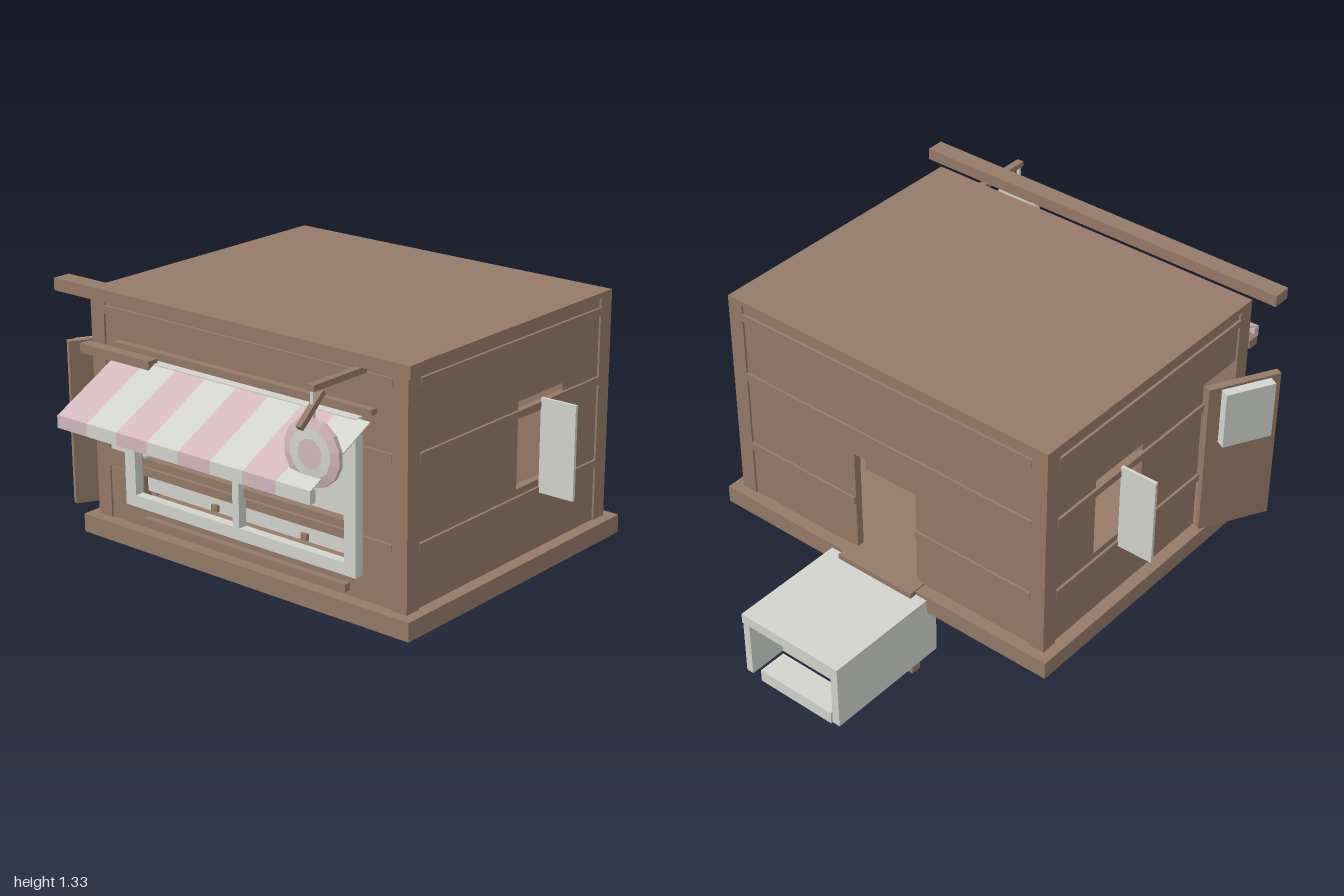
import * as THREE from 'three';

const mat = (name, color) => {
  const m = new THREE.MeshStandardMaterial({ color, side: THREE.DoubleSide });
  m.name = name;
  return m;
};

export function createModel() {
  const root = new THREE.Group();
  root.name = 'stallHouse';
  const wood = mat('brownWood', 0x967a67);
  const pale = mat('paleGrey', 0xd2d4cc);
  const pink = mat('softPink', 0xd4b8be);

  const add = (name, geo, m, parent = root) => {
    const mesh = new THREE.Mesh(geo, m);
    mesh.name = name;
    parent.add(mesh);
    return mesh;
  };
  // Box given by its limits on each axis
  const box = (name, m, x0, x1, y0, y1, z0, z1, parent = root) => {
    const mesh = add(name, new THREE.BoxGeometry(x1 - x0, y1 - y0, z1 - z0), m, parent);
    mesh.position.set((x0 + x1) / 2, (y0 + y1) / 2, (z0 + z1) / 2);
    return mesh;
  };
  // Flat panel with rectangular holes, each [u0, u1, v0, v1]
  const panel = ([u0, u1, v0, v1], holes, depth) => {
    const trace = (p, a, b, c, d) => p.moveTo(a, c).lineTo(b, c).lineTo(b, d).lineTo(a, d).lineTo(a, c);
    const shape = trace(new THREE.Shape(), u0, u1, v0, v1);
    for (const h of holes) shape.holes.push(trace(new THREE.Path(), ...h));
    return new THREE.ExtrudeGeometry(shape, { depth, bevelEnabled: false });
  };

  // House limits
  const X0 = -0.705, X1 = 0.735, Z0 = -0.49, Z1 = 0.67, Y0 = 0.43, Y1 = 1.29, T = 0.03, IN = 0.008;

  // Base and roof
  box('base', wood, -0.745, 0.775, 0.36, Y0, -0.53, 0.71);
  box('roof', wood, X0, X1, 1.27, Y1, Z0, Z1);
  box('frontRoofBeam', wood, -0.79, 0.815, 1.285, 1.33, 0.69, 0.762);

  // Walls with openings
  add('frontWall', panel([X0 + IN, X1 - IN, Y0, 1.27], [[-0.47, 0.5, 0.5, 1.04]], T), wood)
    .position.z = Z1 - IN - T;
  add('backWall', panel([X0 + IN, X1 - IN, Y0, 1.27], [[-0.125, 0.16, Y0 + 0.002, 0.86]], T), wood)
    .position.z = Z0 + IN;
  const sideWindow = [-0.055, 0.21, 0.69, 1.01];
  const sideSpan = [-Z1 + IN, -Z0 - IN, Y0, 1.27];
  const rightHand = add('leftWall', panel(sideSpan, [sideWindow], T), wood);
  rightHand.rotation.y = Math.PI / 2;
  rightHand.position.x = X1 - IN - T;
  const doorSide = add('rightWall', panel(sideSpan, [sideWindow, [-0.64, -0.41, Y0 + 0.002, 1.06]], T), wood);
  doorSide.rotation.y = Math.PI / 2;
  doorSide.position.x = X0 + IN;

  // Corner posts
  for (const x of [X0, X1 - 0.065])
    for (const z of [Z0, Z1 - 0.065]) box('cornerPost', wood, x, x + 0.065, Y0, 1.27, z, z + 0.065);

  // Horizontal battens around the house
  for (const [a, b] of [[0.635, 0.665], [0.952, 0.98], [1.208, 1.236]]) {
    box('frontBatten', wood, -0.64, 0.67, a, b, Z1 - 0.02, Z1 + 0.002);
    if (a < 0.7) {
      box('backBatten', wood, -0.64, -0.125, a, b, Z0 - 0.002, Z0 + 0.02);
      box('backBatten', wood, 0.16, 0.67, a, b, Z0 - 0.002, Z0 + 0.02);
    } else box('backBatten', wood, -0.64, 0.67, a, b, Z0 - 0.002, Z0 + 0.02);
    box('leftBatten', wood, X1 - 0.02, X1 + 0.002, a, b, -0.425, 0.605);
    box('rightBatten', wood, X0 - 0.002, X0 + 0.02, a, b, -0.425, a < 1.06 ? 0.41 : 0.605);
  }

  // Front window: frame, centre bar, panes, knob and rails
  add('windowFrame', panel([-0.52, 0.55, 0.525, 1.085],
    [[-0.47, -0.0, 0.57, 1.04], [0.03, 0.5, 0.57, 1.04]], 0.036), pale).position.z = 0.674;
  box('windowPane', pale, -0.47, 0.5, 0.57, 1.04, 0.642, 0.648);
  add('windowKnob', new THREE.SphereGeometry(0.018, 10, 8), pale).position.set(-0.415, 0.735, 0.7);
  box('windowRail', wood, -0.455, 0.485, 0.68, 0.708, 0.65, 0.685);
  box('lowerRail', wood, -0.455, 0.485, 0.45, 0.478, 0.66, 0.686);
  box('upperRail', wood, -0.575, 0.6, 1.1, 1.12, 0.66, 0.69);
  for (const x of [-0.135, 0.28]) {
    box('latch', wood, x - 0.014, x + 0.014, 0.795, 0.828, 0.648, 0.66);
    box('latch', wood, x - 0.014, x + 0.014, 0.575, 0.6, 0.648, 0.66);
    box('latchTab', x > 0 ? pink : pale, x - 0.014, x + 0.014, 0.76, 0.793, 0.648, 0.656);
  }

  // Small side pane beside the window
  box('sidePane', pale, -0.632, -0.535, 0.668, 0.99, 0.66, 0.667);
  box('sidePaneSill', wood, -0.64, -0.53, 0.66, 0.7, 0.655, 0.671);
  box('lowPanel', wood, -0.635, -0.47, 0.51, 0.63, 0.655, 0.668);
  box('awningRod', wood, -0.7, -0.36, 1.065, 1.1, 0.69, 0.735);

  // Striped awning with a hanging front edge
  const awning = new THREE.Group();
  awning.name = 'awning';
  root.add(awning);
  const w = 1.15 / 8, rise = 0.15, run = 0.295;
  for (let i = 0; i < 8; i++) {
    const x = -0.545 + i * w, m = i % 2 ? pale : pink;
    const cloth = add('awningStripe', new THREE.BoxGeometry(w, 0.004, Math.hypot(rise, run)), m, awning);
    cloth.position.set(x + w / 2, 1.083 - rise / 2, 0.7 + run / 2);
    cloth.rotation.x = Math.atan2(rise, run);
    box('awningEdge', m, x, x + w, 0.888, 0.935, 0.972, 1.0, awning);
  }

  // Round hanging sign, tapered towards the rim on both faces
  const sign = new THREE.Group();
  sign.name = 'roundSign';
  sign.position.set(0.56, 1.035, 0.93);
  root.add(sign);
  const ring = (name, m, pts) => {
    const geo = new THREE.LatheGeometry(pts.map(p => new THREE.Vector2(...p)), 14).toNonIndexed();
    geo.computeVertexNormals();
    add(name, geo, m, sign).rotation.x = Math.PI / 2;
  };
  ring('signRim', pink, [[0.085, -0.016], [0.117, -0.008], [0.117, 0.008], [0.085, 0.016]]);
  for (const s of [-1, 1]) {
    ring('signRing', pale, [[0.05, 0.018 * s], [0.085, 0.016 * s]]);
    ring('signCentre', pink, [[0, 0.018 * s], [0.05, 0.018 * s]]);
  }
  box('signArm', wood, 0.546, 0.574, 1.24, 1.262, 0.68, 0.94);
  const brace = add('signBrace', new THREE.BoxGeometry(0.022, 0.02, 0.145), wood);
  brace.position.set(0.56, 1.18, 0.94);
  brace.rotation.x = 0.71;
  box('signHanger', pale, 0.554, 0.566, 1.14, 1.24, 0.924, 0.936);

  // Open side door with a pale notice board
  const door = new THREE.Group();
  door.name = 'sideDoor';
  door.position.set(X0, 0, 0.41);
  door.rotation.y = -0.495;
  root.add(door);
  box('doorPanel', wood, -0.03, 0, Y0, 1.06, 0, 0.284, door);
  box('doorBoard', pale, -0.068, -0.03, 0.82, 1.05, 0.05, 0.245, door);

  // Side window shutters standing open
  box('leftShutter', pale, 0.735, 0.88, 0.645, 0.995, -0.08, -0.068);
  box('rightShutter', pale, -0.85, -0.705, 0.645, 0.995, -0.08, -0.068);

  // Inside counter, shelf and goods
  box('counterTop', wood, -0.4, 0.45, 0.825, 0.842, -0.14, 0.2);
  box('counterShelf', wood, -0.4, 0.45, 0.788, 0.808, -0.15, 0.2);
  box('counterBody', wood, -0.4, 0.45, Y0, 0.788, -0.12, 0.2);
  for (let i = 0; i < 4; i++) {
    box('counterJar', pale, -0.3 + i * 0.17, -0.2 + i * 0.17, 0.842, i % 2 ? 0.9 : 0.92, -0.09, i % 2 ? 0.05 : -0.01);
  }
  box('pinkCrate', pink, 0.46, 0.56, 0.6, 0.75, -0.09, -0.01);

  // Back door sill, hanging plank and covered steps
  box('backSill', wood, -0.16, 0.185, 0.415, 0.436, -0.56, -0.46);
  box('backPlank', wood, -0.125, 0.16, 0, 0.36, -0.52, -0.478);
  const porch = new THREE.Group();
  porch.name = 'coveredSteps';
  root.add(porch);
  box('porchRoof', pale, -0.21, 0.245, 0.375, 0.415, -1, -0.53, porch);
  box('porchSide', pale, -0.21, -0.178, 0.15, 0.375, -1, -0.48, porch);
  box('porchSide', pale, 0.21, 0.24, 0.15, 0.375, -1, -0.48, porch);
  for (let i = 0; i < 4; i++)
    box('step', pale, -0.155, 0.185, 0.118 + i * 0.063, 0.168 + i * 0.063, -0.985 + i * 0.115, -0.87 + i * 0.115, porch);

  return root;
}
